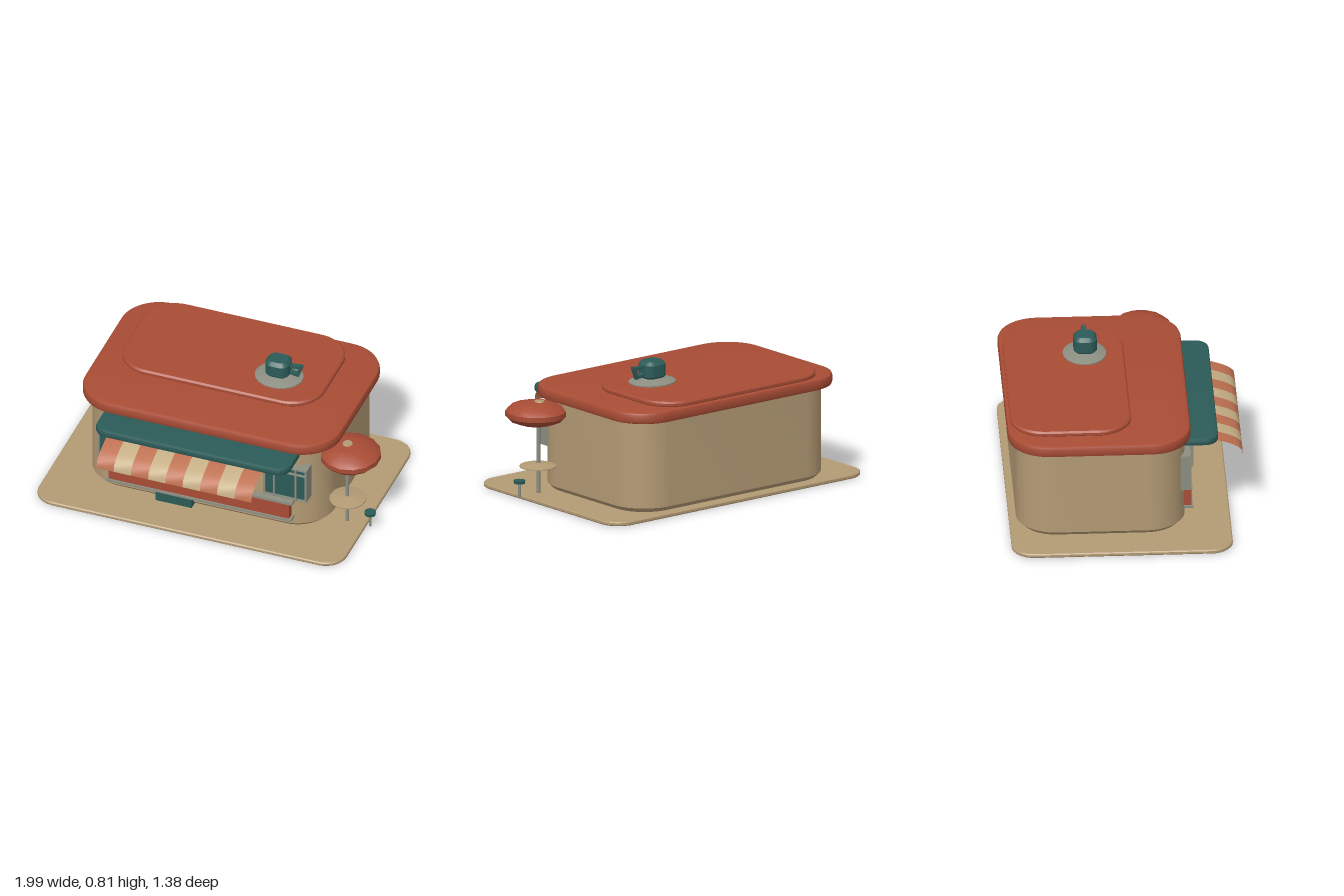
import * as THREE from 'three';
import { toCreasedNormals } from 'three/addons/utils/BufferGeometryUtils.js';

const paint = (name, color, extra = {}) => {
  const m = new THREE.MeshStandardMaterial({ color, ...extra });
  m.name = name;
  return m;
};

export function createModel() {
  const red = paint('brick red', 0xa84c35);
  const tan = paint('sand', 0xb39a74);
  const teal = paint('dark teal', 0x2b5b58);
  const grey = paint('warm grey', 0x8c8e82);
  const canvasRed = paint('awning terracotta', 0xbd7050, { side: THREE.DoubleSide });
  const canvasCream = paint('awning cream', 0xc4ad84, { side: THREE.DoubleSide });

  const model = new THREE.Group();
  model.name = 'cafe';

  const add = (name, geometry, material, x = 0, y = 0, z = 0, parent = model) => {
    const mesh = new THREE.Mesh(geometry, material);
    mesh.name = name;
    mesh.position.set(x, y, z);
    parent.add(mesh);
    return mesh;
  };

  // Box given by its limits
  const block = (name, material, x0, x1, y0, y1, z0, z1, parent) =>
    add(name, new THREE.BoxGeometry(x1 - x0, y1 - y0, z1 - z0), material,
      (x0 + x1) / 2, (y0 + y1) / 2, (z0 + z1) / 2, parent);

  // Horizontal slab with rounded corners and bevelled rims
  const slab = (name, material, x0, x1, z0, z1, y0, y1, r, bevel, segments = 1) => {
    const a = x0 + bevel, b = x1 - bevel, c = -z1 + bevel, d = -z0 - bevel;
    const q = r - bevel, s = new THREE.Shape();
    s.absarc(b - q, c + q, q, -Math.PI / 2, 0);
    s.absarc(b - q, d - q, q, 0, Math.PI / 2);
    s.absarc(a + q, d - q, q, Math.PI / 2, Math.PI);
    s.absarc(a + q, c + q, q, Math.PI, Math.PI * 1.5);
    const g = new THREE.ExtrudeGeometry(s, {
      depth: y1 - y0 - 2 * bevel, bevelThickness: bevel, bevelSize: bevel,
      bevelSegments: segments, curveSegments: 8,
    });
    g.rotateX(-Math.PI / 2);
    return add(name, toCreasedNormals(g, 0.5), material, 0, y0 + bevel, 0);
  };

  const turned = (name, material, points, sides, x, y, z, parent) => {
    const g = new THREE.LatheGeometry(points.map(p => new THREE.Vector2(...p)), sides);
    return add(name, toCreasedNormals(g, 0.6), material, x, y, z, parent);
  };

  // Ground slab, walls and the two roof tiers
  slab('groundSlab', tan, -1, 0.915, -0.68, 0.61, 0, 0.025, 0.13, 0.006);
  slab('walls', tan, -0.79, 0.705, -0.64, 0.345, 0.025, 0.6, 0.23, 0.028);
  slab('roof', red, -0.84, 0.755, -0.69, 0.378, 0.575, 0.645, 0.24, 0.018, 2);
  slab('upperRoof', red, -0.71, 0.535, -0.67, 0.035, 0.64, 0.675, 0.2, 0.01);
  slab('marquee', teal, -0.647, 0.563, 0.25, 0.54, 0.525, 0.57, 0.08, 0.012, 2);

  // Rooftop cup on its saucer
  const saucer = turned('saucer', grey,
    [[0, 0], [0.145, 0], [0.145, 0.008], [0.075, 0.03], [0, 0.03]], 24, 0.24, 0.674, -0.197);
  saucer.scale.z = 0.88;
  slab('cup', teal, 0.165, 0.312, -0.262, -0.126, 0.695, 0.805, 0.05, 0.02);
  const handle = new THREE.Group();
  handle.name = 'cupHandle';
  model.add(handle);
  const path = [[0.295, 0.766], [0.378, 0.776], [0.358, 0.718], [0.295, 0.73]];
  for (let i = 0; i < 3; i++) {
    const [ax, ay] = path[i], [bx, by] = path[i + 1];
    const length = Math.hypot(bx - ax, by - ay) + 0.016;
    const bar = add('handleBar', new THREE.BoxGeometry(length, 0.018, 0.028), teal,
      (ax + bx) / 2, (ay + by) / 2, -0.195, handle);
    bar.rotation.z = Math.atan2(by - ay, bx - ax);
  }

  // Curved awning in nine stripes
  const awning = new THREE.Group();
  awning.name = 'awning';
  model.add(awning);
  const drape = [[0.44, 0.53], [0.49, 0.525], [0.55, 0.514], [0.615, 0.492],
    [0.655, 0.472], [0.68, 0.45], [0.687, 0.41]];
  const stripe = 0.965 / 9;
  for (let i = 0; i < 9; i++) {
    const g = new THREE.PlaneGeometry(stripe, 1, 1, drape.length - 1);
    const p = g.attributes.position;
    for (let k = 0; k < p.count; k++) {
      const [z, y] = drape[Math.floor(k / 2)];
      p.setXYZ(k, p.getX(k), y, z);
    }
    g.computeVertexNormals();
    add('awningStripe', g, i % 2 ? canvasCream : canvasRed, -0.565 + stripe * (i + 0.5), 0, 0, awning);
  }

  // Framed windows: glass, border and glazing bars
  const framed = (name, x0, x1, y0, y1, z, uprights, crossbar) => {
    const g = new THREE.Group(), t = 0.011;
    g.name = name;
    model.add(g);
    block('glass', teal, x0 + t, x1 - t, y0 + t, y1 - t, 0.28, z - 0.008, g);
    for (const x of [x0, x1 - t]) block('frameSide', grey, x, x + t, y0, y1, 0.28, z, g);
    for (const y of [y0, y1 - t]) block('frameRail', grey, x0, x1, y, y + t, 0.28, z, g);
    for (const u of uprights) {
      const x = x0 + (x1 - x0) * u;
      block('glazingBar', grey, x - 0.005, x + 0.005, y0, y1, z - 0.01, z + 0.006, g);
    }
    block('crossBar', grey, x0, x1, crossbar - 0.004, crossbar + 0.004, z - 0.01, z + 0.004, g);
  };
  framed('leftWindow', -0.675, -0.305, 0.25, 0.475, 0.375, [0.16, 0.7, 0.95], 0.435);
  framed('middleWindow', 0, 0.28, 0.25, 0.475, 0.375, [0.25, 0.8], 0.435);
  framed('rightWindow', 0.355, 0.625, 0.25, 0.475, 0.375, [0.25, 0.75], 0.435);
  framed('doorWindow', -0.295, -0.11, 0.19, 0.46, 0.405, [0.16, 0.84], 0.4);
  block('door', teal, -0.315, -0.09, 0.026, 0.22, 0.32, 0.375);

  // Counter front with its two rails
  block('counter', red, -0.605, 0.52, 0.105, 0.215, 0.29, 0.384);
  block('upperRail', grey, -0.61, 0.54, 0.216, 0.232, 0.29, 0.39);
  block('lowerRail', grey, -0.62, 0.535, 0.1, 0.114, 0.29, 0.394);

  // Parasol with a table round its pole, and a stool
  add('parasolPole', new THREE.CylinderGeometry(0.011, 0.011, 0.44, 10), grey, 0.8, 0.24, 0.165);
  const canopy = turned('parasolCanopy', red, [[0, 0.443], [0.09, 0.445], [0.155, 0.468], [0.182, 0.495],
    [0.182, 0.525], [0.15, 0.555], [0.075, 0.574], [0, 0.577]], 14, 0.82, 0, 0.163);
  canopy.scale.x = 0.98;
  add('parasolCap', new THREE.CylinderGeometry(0.028, 0.034, 0.01, 10), tan, 0.8, 0.576, 0.158);
  turned('table', tan, [[0, 0.168], [0.04, 0.17], [0.108, 0.184], [0.108, 0.191], [0.04, 0.204], [0, 0.206]],
    20, 0.803, 0, 0.165);
  add('stoolLeg', new THREE.CylinderGeometry(0.009, 0.009, 0.09, 8), grey, 0.943, 0.068, 0.165);
  add('stoolSeat', new THREE.CylinderGeometry(0.035, 0.032, 0.018, 12), teal, 0.943, 0.115, 0.165);

  return model;
}
